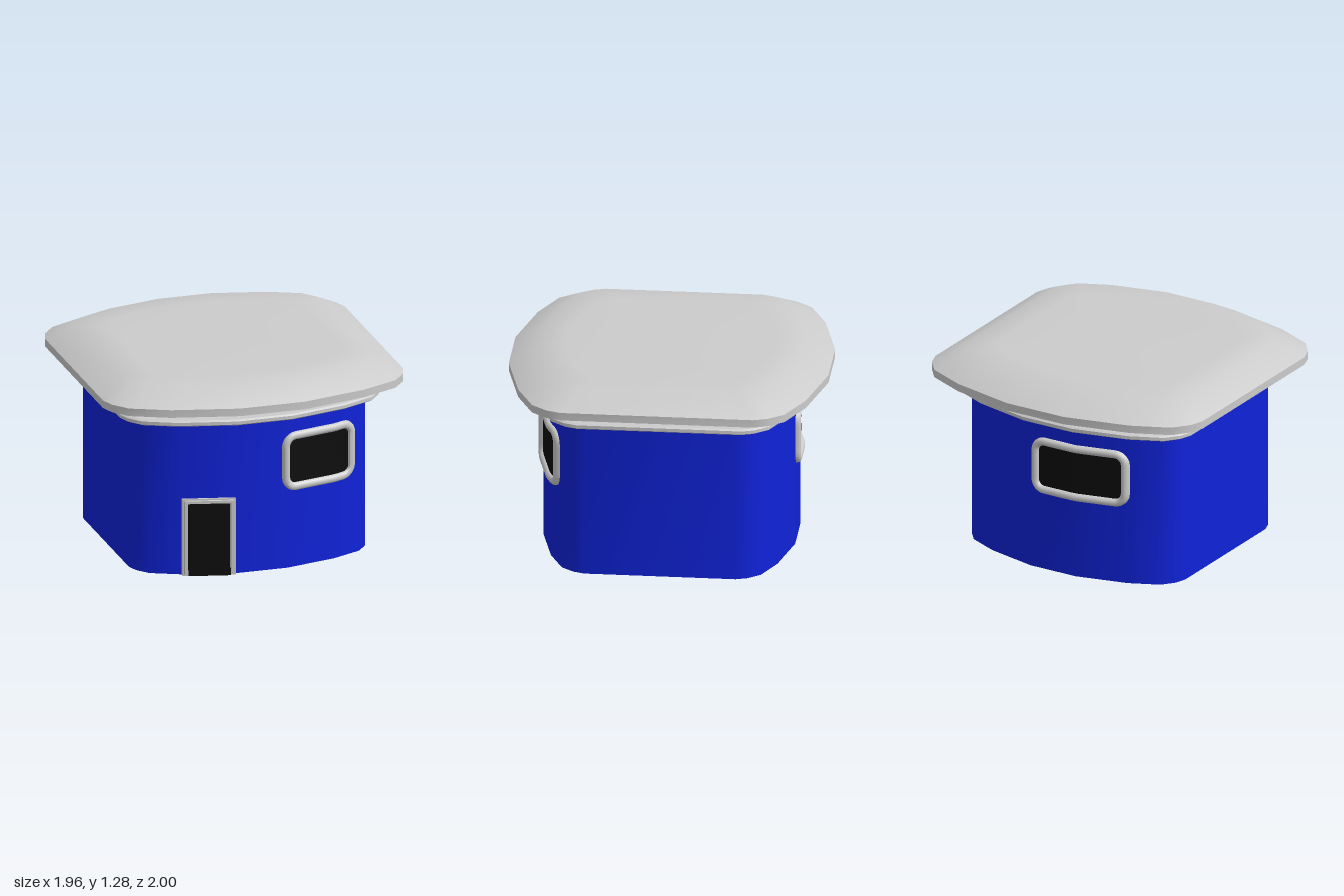
import * as THREE from 'three';
import { toCreasedNormals } from 'three/addons/utils/BufferGeometryUtils.js';

const grey = new THREE.MeshStandardMaterial({ color: 0xcccccc });
const blue = new THREE.MeshStandardMaterial({ color: 0x0f22d8 });
const black = new THREE.MeshStandardMaterial({ color: 0x0d0d0d });

// One quarter of the barrel-sided floor plan as [x, z], mirrored to a full loop
const QUARTER = [[0.21, 1], [0.63, 0.9], [0.87, 0.79], [0.95, 0.69], [0.98, 0.6]];
const back = [...QUARTER].reverse();
const PLAN = [
  ...QUARTER,
  ...back.map(([x, z]) => [x, -z]),
  ...QUARTER.map(([x, z]) => [-x, -z]),
  ...back.map(([x, z]) => [-x, z]),
];
const BODY = 0.787; // plan scale of the walls

const planRing = (s, y) => PLAN.map(([x, z]) => [x * s, y, z * s]);

// Skin a list of equal-length closed rings
function loft(rings, crease = 0.7) {
  const n = rings[0].length, index = [];
  for (let r = 0; r < rings.length - 1; r++) {
    for (let i = 0; i < n; i++) {
      const j = (i + 1) % n, a = r * n, b = a + n;
      index.push(a + i, a + j, b + j, a + i, b + j, b + i);
    }
  }
  const g = new THREE.BufferGeometry();
  g.setAttribute('position', new THREE.Float32BufferAttribute(rings.flat(2), 3));
  g.setIndex(index);
  return toCreasedNormals(g, crease);
}

function add(parent, name, geometry, material) {
  const mesh = new THREE.Mesh(geometry, material);
  mesh.name = name;
  parent.add(mesh);
  return mesh;
}

// Depth of the curved front wall at x
function wallZ(x) {
  const ax = Math.abs(x) / BODY;
  if (ax <= QUARTER[0][0]) return BODY;
  for (let i = 0; i < QUARTER.length - 1; i++) {
    const [x0, z0] = QUARTER[i], [x1, z1] = QUARTER[i + 1];
    if (ax <= x1) return BODY * (z0 + ((z1 - z0) * (ax - x0)) / (x1 - x0));
  }
  return BODY * 0.6;
}

// Rounded rectangle bent onto the wall, raised by depth
function wallRing(cx, cy, w, h, r, depth) {
  const corners = [[1, -1], [1, 1], [-1, 1], [-1, -1]];
  const pts = [];
  corners.forEach(([sx, sy], k) => {
    for (let i = 0; i <= 6; i++) {
      const a = -Math.PI / 2 + (k + i / 6) * (Math.PI / 2);
      pts.push([sx * (w / 2 - r) + r * Math.cos(a), sy * (h / 2 - r) + r * Math.sin(a)]);
    }
    // straight run to the next corner, divided so it can bend
    const [nx, ny] = corners[(k + 1) % 4];
    const p = pts[pts.length - 1];
    const a = (k + 1) * (Math.PI / 2) - Math.PI / 2;
    const q = [nx * (w / 2 - r) + r * Math.cos(a), ny * (h / 2 - r) + r * Math.sin(a)];
    for (let i = 1; i < 10; i++) {
      pts.push([p[0] + ((q[0] - p[0]) * i) / 10, p[1] + ((q[1] - p[1]) * i) / 10]);
    }
  });
  return pts.map(([x, y]) => [cx + x, cy + y, wallZ(cx + x) + depth]);
}

// Frame from an [inset, depth] profile, filled with a dark pane
function opening(name, cx, cy, w, h, r, profile, paneInset) {
  const g = new THREE.Group();
  g.name = name;
  const frame = profile.map(([inset, d]) =>
    wallRing(cx, cy, w - 2 * inset, h - 2 * inset, Math.max(r - inset, 0.001), d));
  add(g, name + 'Frame', loft(frame), grey);
  const pw = w - 2 * paneInset, ph = h - 2 * paneInset, pr = Math.max(r - paneInset, 0.001);
  const pane = [1, 0.8, 0.6, 0.4, 0.2, 0.001].map((s) =>
    wallRing(cx, cy, pw * s, ph * s, pr * s, 0.006));
  add(g, name + 'Pane', loft(pane), black);
  return g;
}

export function createModel() {
  const model = new THREE.Group();
  model.name = 'smallBuilding';

  // Walls with a closed floor
  add(model, 'walls', loft([planRing(0, 0.005), planRing(BODY, 0.005), planRing(BODY, 1.13)]), blue);

  // Bevelled bands under the eaves
  const band = (y0, y1, s) => loft([
    planRing(0.78, y0), planRing(s - 0.012, y0), planRing(s, y0 + 0.009),
    planRing(s, y1 - 0.009), planRing(s - 0.012, y1), planRing(0.78, y1),
  ], 0.5);
  add(model, 'lowerBand', band(1.005, 1.043, 0.862), grey);
  add(model, 'upperBand', band(1.065, 1.105, 0.856), blue);

  // Roof: upright rim, sloped edge and nearly flat top
  add(model, 'soffit', loft([planRing(0, 1.126), planRing(0.975, 1.126)]), blue);
  add(model, 'roof', loft([
    planRing(0.97, 1.13), planRing(0.975, 1.12), planRing(1, 1.12), planRing(1, 1.17),
    planRing(0.82, 1.27), planRing(0.65, 1.277), planRing(0, 1.278),
  ]), grey);

  // Rounded windows, front and back
  const roundProfile = [
    [0, -0.02], [0, 0.012], [0.006, 0.024], [0.017, 0.031],
    [0.032, 0.031], [0.043, 0.024], [0.05, 0.012], [0.052, -0.01],
  ];
  model.add(opening('frontWindow', 0.39, 0.705, 0.52, 0.385, 0.09, roundProfile, 0.045));
  const rear = opening('backWindow', 0.18, 0.705, 0.66, 0.375, 0.09, roundProfile, 0.045);
  rear.rotation.y = Math.PI;
  model.add(rear);

  // Door with a stepped square frame
  const stepProfile = [
    [0, -0.02], [0, 0.014], [0.01, 0.014], [0.012, 0.024], [0.03, 0.024], [0.034, -0.01],
  ];
  model.add(opening('door', -0.338, 0.253, 0.325, 0.506, 0.002, stepProfile, 0.03));
  // Cover the lower frame bar so the dark panel reaches the ground
  const threshold = new THREE.PlaneGeometry(0.257, 0.05, 12, 1).translate(-0.338, 0.026, 0);
  const p = threshold.attributes.position;
  for (let i = 0; i < p.count; i++) p.setZ(i, wallZ(p.getX(i)) + 0.026);
  threshold.computeVertexNormals();
  add(model, 'doorThreshold', threshold, black);

  return model;
}
